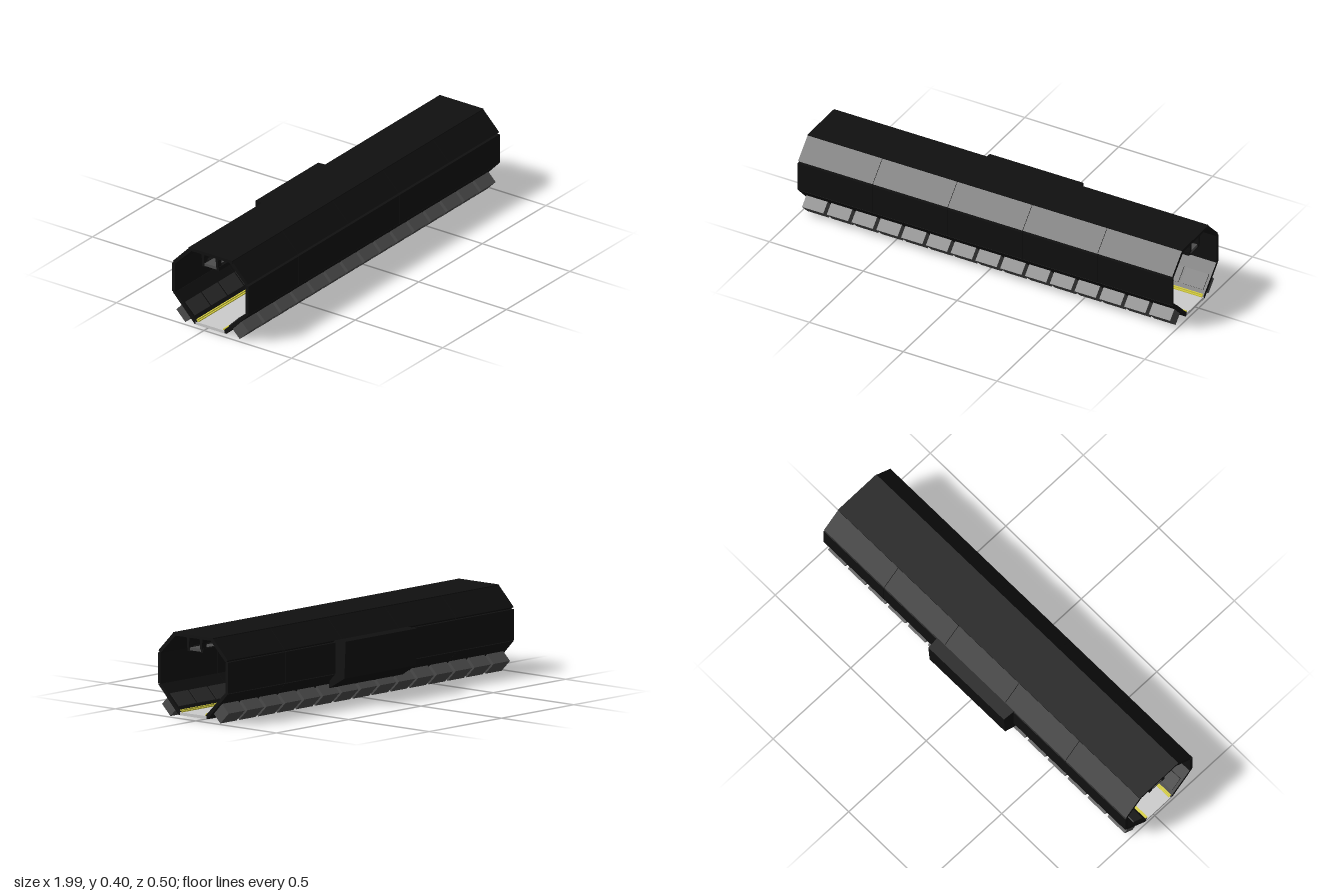
import * as THREE from 'three';

const mat = (color) => new THREE.MeshStandardMaterial({ color, flatShading: true });
const DARK = mat(0x101010);
const BLOCK = mat(0x4d4d4d);
const LIP = mat(0x2a2a2a);
const FLOOR = mat(0xcccccc);
const YELLOW = mat(0xd8d040);

// Prism along x, centred at x, from a cross-section of [z, y] points
function prism(parent, name, section, length, x, material) {
  const shape = new THREE.Shape(section.map(([z, y]) => new THREE.Vector2(z, y)));
  const geo = new THREE.ExtrudeGeometry(shape, { depth: length, bevelEnabled: false });
  geo.translate(0, 0, -length / 2).rotateY(-Math.PI / 2).translate(x, 0, 0);
  const mesh = new THREE.Mesh(geo, material);
  mesh.name = name;
  parent.add(mesh);
  return mesh;
}

// Box with its own tilt about x
function box(parent, name, size, pos, material, tilt = 0) {
  const mesh = new THREE.Mesh(new THREE.BoxGeometry(...size), material);
  mesh.name = name;
  mesh.position.set(...pos);
  mesh.rotation.x = tilt;
  parent.add(mesh);
  return mesh;
}

// Sections are drawn for the front half; the back is mirrored about this axis
const AXIS = 0.0275;
const mirror = (section) => section.map(([z, y]) => [2 * AXIS - z, y]);

const WALLS = {
  UpperSlope: [[0.15, 0.4], [0.242, 0.307], [0.228, 0.297], [0.133, 0.39]],
  Wall: [[0.245, 0.297], [0.245, 0.152], [0.228, 0.15], [0.228, 0.297]],
  LowerSlope: [[0.242, 0.148], [0.117, 0.018], [0.105, 0.02], [0.105, 0.034], [0.226, 0.152]],
};

export function createModel() {
  const model = new THREE.Group();
  model.name = 'octagonalCorridor';
  const body = new THREE.Group();
  body.name = 'corridorBody';
  body.rotation.y = 0.005;
  model.add(body);

  // Roof and floor slabs
  prism(body, 'roof', [[0.152, 0.388], [0.152, 0.402], [-0.097, 0.402], [-0.097, 0.388]], 1.99, 0, DARK);
  prism(body, 'floor', [[0.108, 0.018], [0.108, 0.032], [-0.056, 0.032], [-0.056, 0.018]], 1.99, 0, FLOOR);

  for (const side of ['front', 'back']) {
    const flip = side === 'front' ? (s) => s : mirror;
    const s = side === 'front' ? 1 : -1;

    // Wall panels, five along each length
    for (const [part, section] of Object.entries(WALLS)) {
      for (let i = 0; i < 5; i++) {
        prism(body, side + part, flip(section), 0.396, (i - 2) * 0.398, DARK);
      }
    }

    // Row of angled blocks set through the lower slopes
    for (let i = 0; i < 15; i++) {
      const x = (i - 7) * 0.1316;
      const z = AXIS + s * 0.1545;
      box(body, side + 'Block', [0.113, 0.073, 0.073], [x, 0.055, z], BLOCK, s * Math.PI / 4);
      box(body, side + 'BlockLip', [0.12, 0.008, 0.077], [x, 0.082, z - s * 0.029], LIP, -s * Math.PI / 4);
    }

    // Yellow strips beside the floor
    for (const [z, y] of [[0.1, 0.034], [0.107, 0.04]]) {
      box(body, side + 'FloorStrip', [1.98, 0.007, 0.007], [0, y, AXIS + s * (z - AXIS)], YELLOW);
    }
  }

  // Yellow strips showing under the back slope
  for (const x of [-0.43, 0.43]) {
    box(body, 'undersideStrip', [0.36, 0.006, 0.014], [x, 0.028, -0.072], YELLOW, Math.PI / 4);
  }

  // Bay on the back wall, its ends tapering slightly outwards
  const bay = [[-0.16, 0.308], [-0.249, 0.307], [-0.241, 0.133], [-0.15, 0.078], [-0.16, 0.15]];
  const bayMesh = prism(body, 'backBay', bay, 0.51, -0.005, DARK);
  const p = bayMesh.geometry.attributes.position;
  for (let i = 0; i < p.count; i++) {
    if (p.getZ(i) < -0.2) p.setX(i, -0.005 + (p.getX(i) + 0.005) * 0.975);
  }
  bayMesh.geometry.computeVertexNormals();

  // Overhead tray: two rails, a grey deck and hangers from the roof
  prism(body, 'trayDeck', [[0.055, 0.327], [0.055, 0.341], [-0.013, 0.341], [-0.013, 0.327]], 1.97, 0, BLOCK);
  for (const z of [0.061, -0.019]) {
    prism(body, 'trayRail',
      [[z - 0.008, 0.322], [z + 0.008, 0.322], [z + 0.009, 0.343], [z - 0.009, 0.343]], 1.97, 0, DARK);
    for (let i = 0; i < 6; i++) {
      prism(body, 'trayHanger', [
        [z - 0.006, 0.34], [z + 0.006, 0.34], [z + 0.006, 0.365], [z + 0.01, 0.389],
        [z - 0.01, 0.389], [z - 0.006, 0.365],
      ], 0.03, (i - 2.5) * 0.39, DARK);
    }
  }
  return model;
}
